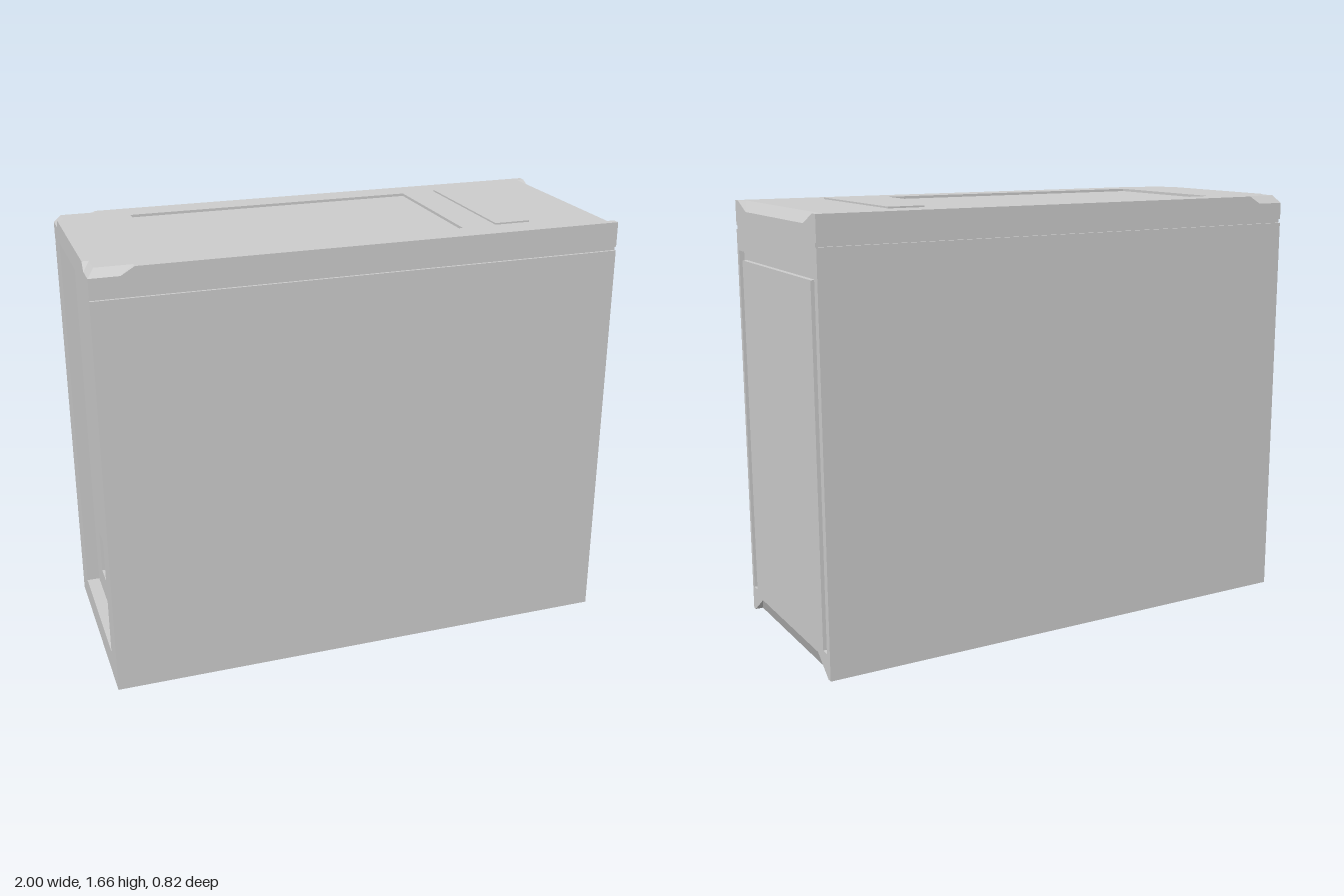
import * as THREE from 'three';

const V = (x, y, z) => new THREE.Vector3(x, y, z);
const X = V(1, 0, 0), Y = V(0, 1, 0), Z = V(0, 0, 1);
const material = new THREE.MeshStandardMaterial({ color: 0xcccccc, flatShading: true });

// Overall sizes: half length, height, half width
const L = 1, H = 1.65, W = 0.41;
const GROOVE = { low: 1.54, high: 1.555, z: 0.4 };

// Flat polygon with optional holes, turned to face the outward direction
function face(out, pts, outward, holes = []) {
  const a = outward.toArray().map(Math.abs);
  const drop = a.indexOf(Math.max(...a));
  const flat = (list) => list.map((p) => {
    const c = p.toArray();
    c.splice(drop, 1);
    return new THREE.Vector2(c[0], c[1]);
  });
  const tris = THREE.ShapeUtils.triangulateShape(flat(pts), holes.map(flat));
  const all = [pts, ...holes].flat();
  for (const [i, j, k] of tris) {
    const [p, q, r] = [all[i], all[j], all[k]];
    const n = q.clone().sub(p).cross(r.clone().sub(p));
    out.push(...(n.dot(outward) < 0 ? [p, r, q] : [p, q, r]));
  }
}

// Walls and floor of a pocket sunk from a loop, against the outward direction
function pocket(out, loop, outward, depth, holes = []) {
  const shift = outward.clone().multiplyScalar(-depth);
  const area = V(0, 0, 0);
  loop.forEach((p, i) => area.add(p.clone().cross(loop[(i + 1) % loop.length])));
  const ring = area.dot(outward) < 0 ? [...loop].reverse() : loop;
  ring.forEach((p, i) => {
    const q = ring[(i + 1) % ring.length];
    const inward = outward.clone().cross(q.clone().sub(p)).normalize();
    face(out, [p, q, q.clone().add(shift), p.clone().add(shift)], inward);
  });
  face(out, loop.map((p) => p.clone().add(shift)), outward, holes);
}

function part(name, build) {
  const pts = [];
  build(pts);
  const geometry = new THREE.BufferGeometry().setFromPoints(pts);
  geometry.computeVertexNormals();
  const mesh = new THREE.Mesh(geometry, material);
  mesh.name = name;
  return mesh;
}

// End outline at a given x from a half profile of [z, y] pairs
const mirrored = (half, x) => [
  ...half.map(([z, y]) => V(x, y, z)),
  ...[...half].reverse().map(([z, y]) => V(x, y, -z)),
];
const endRect = (x, z0, z1, y0, y1) => [V(x, y0, z0), V(x, y0, z1), V(x, y1, z1), V(x, y1, z0)];

export function createModel() {
  const group = new THREE.Group();
  group.name = 'computerCase';
  const grooveEdge = [[W, GROOVE.low], [GROOVE.z, GROOVE.low], [GROOVE.z, GROOVE.high], [W, GROOVE.high]];

  // Front bezel: inverted U slot, and bevels between the corners at top and bottom
  group.add(part('frontBezel', (out) => {
    const half = [[0.295, 0.07], [0.39, 0], [W, 0], ...grooveEdge, [W, H], [0.38, H], [0.295, 1.612]];
    const slot = [[0.392, 0.095], [0.392, 1.46], [-0.382, 1.46], [-0.382, 0.095],
      [-0.347, 0.095], [-0.347, 1.425], [0.357, 1.425], [0.357, 0.095]].map(([z, y]) => V(L, y, z));
    face(out, mirrored(half, L), X, [slot]);
    pocket(out, slot, X, 0.02);
    for (const [yEdge, yIn, zEdge, dir] of [[H, 1.612, 0.38, 1], [0, 0.07, 0.39, -1]]) {
      face(out, [V(0.97, yEdge, zEdge), V(0.97, yEdge, -zEdge), V(L, yIn, -0.295), V(L, yIn, 0.295)], V(1, dir * 0.5, 0));
      for (const s of [1, -1]) {
        face(out, [V(0.97, yEdge, s * zEdge), V(L, yEdge, s * zEdge), V(L, yIn, s * 0.295)], V(0.1, dir, -s));
      }
    }
  }));

  // Back panel: large pocket with a smaller opening low down
  group.add(part('backPanel', (out) => {
    const half = [[W, 0], ...grooveEdge, [W, 1.62], [0.32, 1.62], [0.295, H]];
    const recess = endRect(-L, -0.285, 0.295, 0.1, 1.57);
    const opening = endRect(-0.95, -0.17, 0.18, 0.2, 0.38);
    const back = X.clone().negate();
    face(out, mirrored(half, -L), back, [recess]);
    pocket(out, recess, back, 0.05, [opening]);
    pocket(out, opening, back, 0.05);
  }));

  // Side panels with the long seam below the lid
  for (const s of [1, -1]) {
    group.add(part(s > 0 ? 'frontFacingSide' : 'rearFacingSide', (out) => {
      const n = Z.clone().multiplyScalar(s);
      const strip = (y0, z0, y1, z1, dir) =>
        face(out, [V(-L, y0, s * z0), V(L, y0, s * z0), V(L, y1, s * z1), V(-L, y1, s * z1)], dir);
      strip(0, W, GROOVE.low, W, n);
      strip(GROOVE.low, W, GROOVE.low, GROOVE.z, Y);
      strip(GROOVE.low, GROOVE.z, GROOVE.high, GROOVE.z, n);
      strip(GROOVE.high, GROOVE.z, GROOVE.high, W, Y.clone().negate());
      face(out, [[-L, GROOVE.high], [L, GROOVE.high], [L, H], [-0.84, H], [-0.89, 1.62], [-L, 1.62]]
        .map(([x, y]) => V(x, y, s * W)), n);
    }));
  }

  // Lid with a shallow tray and cut-down back corners
  group.add(part('lid', (out) => {
    const half = [[-L, 0.295], [-0.975, 0.295], [-0.975, 0.385], [-0.84, 0.385], [-0.84, W], [L, W], [L, 0.38], [0.97, 0.38]];
    const outline = [...half.map(([x, z]) => V(x, H, z)), ...[...half].reverse().map(([x, z]) => V(x, H, -z))];
    const tray = [V(-0.72, H, -0.3), V(0.41, H, -0.3), V(0.41, H, 0.3), V(-0.72, H, 0.3)];
    face(out, outline, Y, [tray]);
    pocket(out, tray, Y, 0.01);
    for (const s of [1, -1]) {
      const inner = V(-0.975, H, s * 0.385), outer = V(-L, 1.62, s * W);
      const sideTop = V(-0.84, H, s * 0.385), sideLow = V(-0.89, 1.62, s * W);
      const backTop = V(-0.975, H, s * 0.295), backLow = V(-L, 1.62, s * 0.32);
      face(out, [inner, sideTop, sideLow, outer], V(0, 1, s * 0.9));
      face(out, [sideTop, V(-0.84, H, s * W), sideLow], V(-0.5, 1, 0));
      face(out, [inner, backTop, backLow, outer], V(-0.9, 1, 0));
      face(out, [backTop, V(-L, H, s * 0.295), backLow], V(0, 1, s * 0.5));
    }
  }));

  // Underside
  group.add(part('base', (out) => {
    face(out, [[-L, -W], [L, -W], [L, -0.39], [0.97, -0.39], [0.97, 0.39], [L, 0.39], [L, W], [-L, W]]
      .map(([x, z]) => V(x, 0, z)), Y.clone().negate());
  }));

  // Slim raised control strip on the lid
  const strip = new THREE.Mesh(new THREE.BoxGeometry(0.14, 0.012, 0.59), material);
  strip.name = 'controlStrip';
  strip.position.set(0.615, H, 0);
  group.add(strip);

  return group;
}
